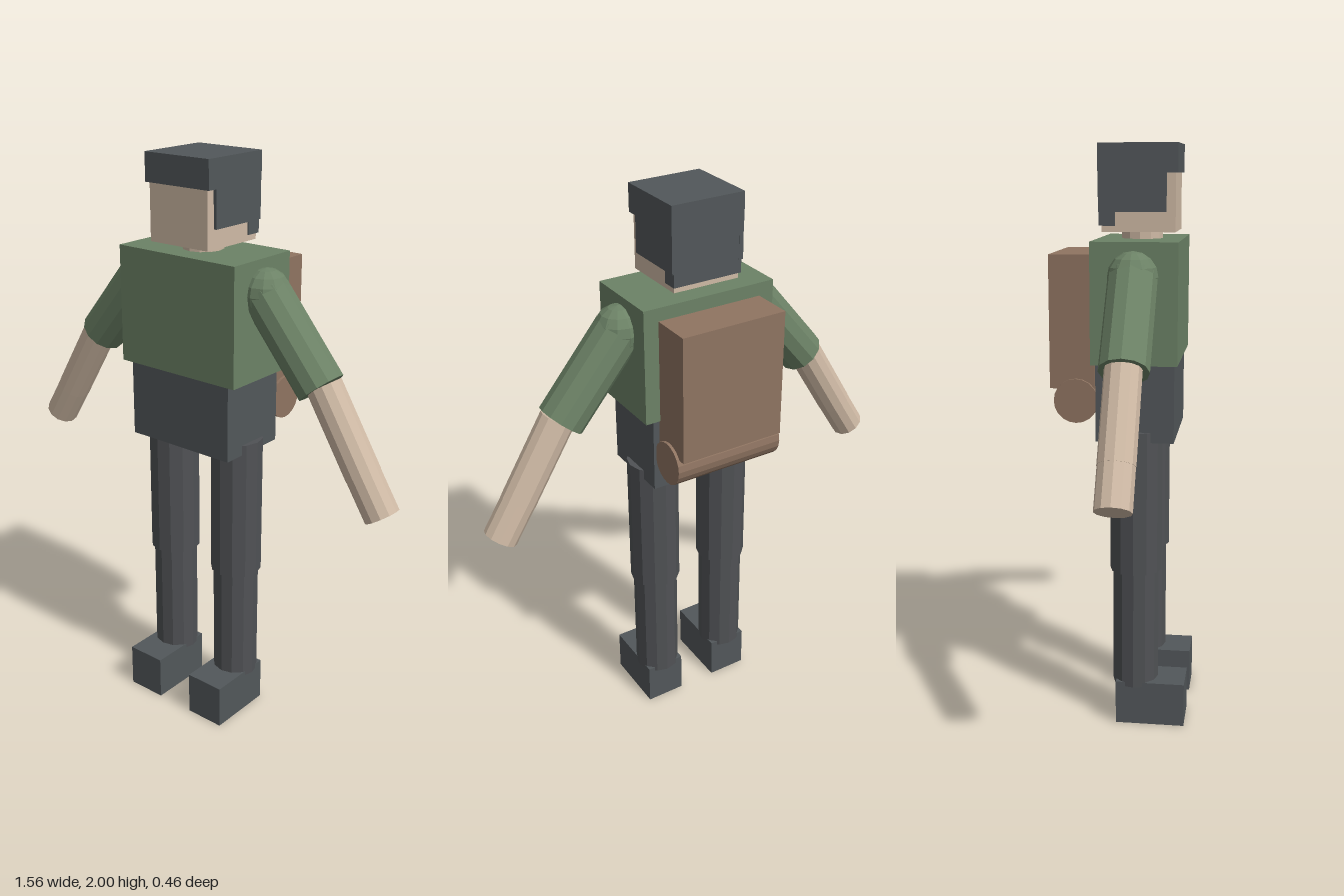
import * as THREE from 'three';

const paint = (name, color, flatShading = true) => {
  const m = new THREE.MeshStandardMaterial({ color, flatShading });
  m.name = name;
  return m;
};

export function createModel() {
  const model = new THREE.Group();
  model.name = 'hiker';
  const shirt = paint('shirt green', 0x6c8266);
  const dark = paint('charcoal', 0x52575a);
  const trouser = paint('trouser grey', 0x505255);
  const skin = paint('skin', 0xcfbaa5);
  const leather = paint('pack brown', 0x8f7461);
  const midZ = 0.055;

  const add = (name, geometry, material, parent = model) => {
    const mesh = new THREE.Mesh(geometry, material);
    mesh.name = name;
    parent.add(mesh);
    return mesh;
  };
  // Box given by its limits on each axis
  const box = (name, material, [x0, x1], [y0, y1], [z0, z1], parent) => {
    const mesh = add(name, new THREE.BoxGeometry(x1 - x0, y1 - y0, z1 - z0), material, parent);
    mesh.position.set((x0 + x1) / 2, (y0 + y1) / 2, (z0 + z1) / 2);
    return mesh;
  };
  // Faceted cylinder between two points
  const rod = (name, material, a, b, radius, parent, sides = 12) => {
    const from = new THREE.Vector3(...a), to = new THREE.Vector3(...b);
    const axis = to.clone().sub(from);
    const mesh = add(name, new THREE.CylinderGeometry(radius, radius, axis.length(), sides), material, parent);
    mesh.position.copy(from).add(to).multiplyScalar(0.5);
    mesh.quaternion.setFromUnitVectors(new THREE.Vector3(0, 1, 0), axis.normalize());
    return mesh;
  };

  // Body
  box('torso', shirt, [-0.243, 0.243], [1.29, 1.69], [-0.087, 0.2]);
  box('hips', dark, [-0.21, 0.21], [1.025, 1.29], [-0.075, 0.188]);

  // Head and hair
  rod('neck', skin, [0, 1.66, 0.058], [0, 1.74, 0.058], 0.07);
  box('head', skin, [-0.12, 0.12], [1.715, 1.92], [-0.065, 0.18]);
  box('hairTop', dark, [-0.132, 0.132], [1.905, 2], [-0.076, 0.188]);
  box('hairBack', dark, [-0.125, 0.125], [1.735, 1.91], [-0.074, -0.02]);
  for (const s of [-1, 1]) {
    const xs = s > 0 ? [0.115, 0.131] : [-0.131, -0.115];
    box('hairSide', dark, xs, [1.78, 1.91], [-0.075, 0.15]);
  }

  // Backpack with bedroll
  box('backpack', leather, [-0.19, 0.19], [1.2, 1.645], [-0.232, -0.08]);
  rod('bedroll', leather, [-0.2, 1.16, -0.143], [0.2, 1.16, -0.143], 0.075, model, 20);

  // Arms and legs, mirrored left and right
  for (const s of [1, -1]) {
    const side = s > 0 ? 'left' : 'right';
    const arm = new THREE.Group();
    arm.name = side + 'Arm';
    const shoulder = add('shoulder', new THREE.SphereGeometry(0.083, 12, 8), shirt, arm);
    shoulder.position.set(s * 0.256, 1.58, midZ);
    rod('sleeve', shirt, [s * 0.256, 1.58, midZ], [s * 0.48, 1.312, midZ], 0.081, arm);
    rod('forearm', skin, [s * 0.49, 1.323, midZ], [s * 0.652, 1.06, midZ], 0.06, arm);
    rod('hand', skin, [s * 0.652, 1.06, midZ], [s * 0.728, 0.94, midZ], 0.059, arm);

    const leg = new THREE.Group();
    leg.name = side + 'Leg';
    const x = s * 0.143;
    rod('thigh', trouser, [x, 0.56, midZ], [x, 1.06, midZ], 0.09, leg);
    rod('shin', trouser, [x, 0.14, midZ], [x, 0.58, midZ], 0.08, leg);
    box('shoe', dark, [x - 0.072, x + 0.072], [0, 0.156], [-0.008, 0.233], leg);
    model.add(arm, leg);
  }
  return model;
}
